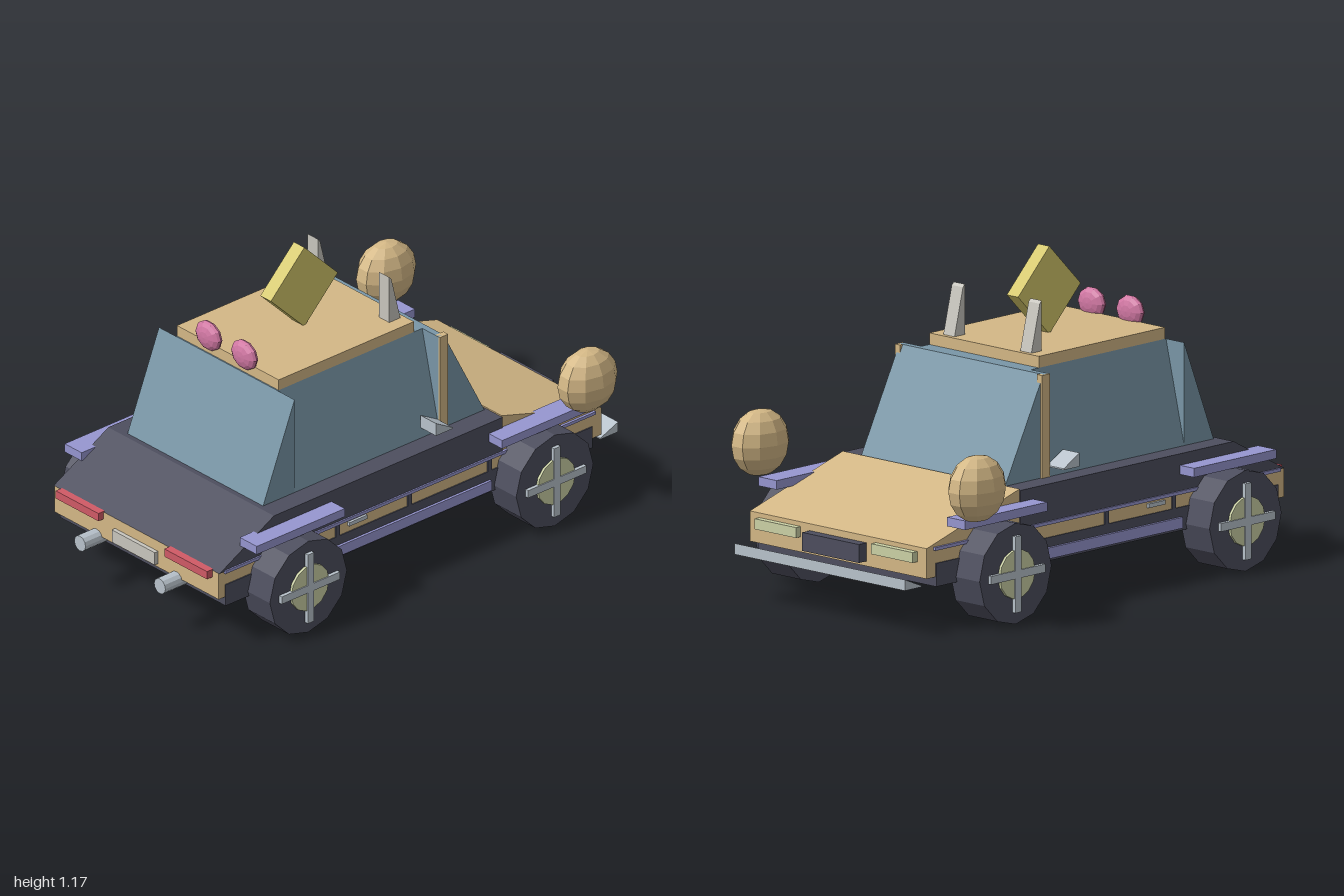
import * as THREE from 'three';

const mat = (name, color) => {
  const m = new THREE.MeshStandardMaterial({ color, flatShading: true });
  m.name = name;
  return m;
};

export function createModel() {
  const car = new THREE.Group();
  car.name = 'car';
  const tan = mat('tan', 0xd4b886);
  const dark = mat('charcoal', 0x4d4e5e);
  const glass = mat('glassBlue', 0x7996a7);
  const purple = mat('lavender', 0x9696d0);
  const pink = mat('pink', 0xd278a4);
  const red = mat('red', 0xd05a66);
  const yellow = mat('yellow', 0xd4c76a);
  const grey = mat('warmGrey', 0xc8c6be);
  const steel = mat('steel', 0xb9c3cc);
  const green = mat('paleGreen', 0xccd2a6);

  const add = (name, geo, material, x = 0, y = 0, z = 0) => {
    const m = new THREE.Mesh(geo, material);
    m.name = name;
    m.position.set(x, y, z);
    car.add(m);
    return m;
  };
  // box given by its limits on each axis
  const box = (name, material, x0, x1, y0, y1, z0, z1) =>
    add(name, new THREE.BoxGeometry(x1 - x0, y1 - y0, z1 - z0), material,
      (x0 + x1) / 2, (y0 + y1) / 2, (z0 + z1) / 2);
  const extrude = (pts, depth) => new THREE.ExtrudeGeometry(
    new THREE.Shape(pts.map(p => new THREE.Vector2(p[0], p[1]))), { depth, bevelEnabled: false });
  // side profile of [z, y] points extruded across x
  const prism = (name, material, pts, x0, x1) =>
    add(name, extrude(pts.map(([z, y]) => [-z, y]), x1 - x0).rotateY(Math.PI / 2), material, x0);
  // box mirrored to both sides
  const pair = (name, material, x0, x1, ...rest) => {
    box(name + 'Left', material, x0, x1, ...rest);
    box(name + 'Right', material, -x1, -x0, ...rest);
  };

  // body
  box('chassis', dark, -0.44, 0.44, 0.165, 0.25, -0.86, 0.89);
  box('lowerBody', tan, -0.436, 0.436, 0.2, 0.305, -0.905, 0.92);
  prism('upperBody', dark, [[0.92, 0.305], [0.66, 0.445], [-0.43, 0.445], [-0.43, 0.305]], -0.44, 0.44);
  prism('hood', tan, [[-0.43, 0.305], [-0.43, 0.45], [-0.905, 0.31], [-0.905, 0.305]], -0.436, 0.436);

  // cabin
  add('sideWindows', extrude([[-0.36, 0.445], [0.36, 0.445], [0.27, 0.82], [-0.27, 0.82]], 0.69),
    glass, 0, 0, -0.2);
  prism('rearWindow', glass, [[0.64, 0.445], [0.49, 0.82], [0.49, 0.445]], -0.36, 0.36);
  prism('windshield', glass, [[-0.2, 0.445], [-0.2, 0.82], [-0.225, 0.82], [-0.42, 0.445]], -0.355, 0.355);
  pair('pillar', tan, 0.338, 0.363, 0.445, 0.82, -0.24, -0.2);
  box('roof', tan, -0.27, 0.27, 0.82, 0.862, -0.16, 0.485);

  // roof ornaments
  const diamond = add('roofDiamond', new THREE.BoxGeometry(0.056, 0.226, 0.226), yellow, 0, 1.015, 0.145);
  diamond.rotation.x = Math.PI / 4;

  for (const s of [-1, 1]) {
    const side = s > 0 ? 'Left' : 'Right';
    const span = (a, b) => (s > 0 ? [a, b] : [-b, -a]);
    const disc = add('roofDisc' + side, new THREE.SphereGeometry(1, 10, 8).rotateX(Math.PI / 2),
      pink, s * 0.095, 0.895, 0.49);
    disc.scale.set(0.065, 0.057, 0.027);
    prism('ear' + side, grey, [[-0.09, 0.862], [-0.09, 1.045], [-0.1, 1.035], [-0.143, 0.862]], ...span(0.162, 0.217));
    const bulb = add('fenderBall' + side, new THREE.SphereGeometry(1, 10, 8), tan, s * 0.535, 0.52, -0.75);
    bulb.scale.set(0.087, 0.122, 0.125);
    prism('mirror' + side, steel, [[-0.12, 0.48], [-0.12, 0.53], [-0.2, 0.485], [-0.2, 0.48]], ...span(0.35, 0.432));
    const pipe = add('exhaust' + side, new THREE.CylinderGeometry(0.03, 0.03, 0.12, 12), steel, s * 0.212, 0.192, 0.94);
    pipe.rotation.x = Math.PI / 2;

    // wheels with hub and cross spokes
    for (const [end, z] of [['rear', 0.6], ['front', -0.575]]) {
      const disk = (name, r, w, material, x, n) =>
        add(end + name + side, new THREE.CylinderGeometry(r, r, w, n).rotateZ(Math.PI / 2), material, s * x, 0.184, z);
      disk('Wheel', 0.184, 0.142, dark, 0.485, 12);
      disk('Hub', 0.09, 0.02, green, 0.556, 14);
      box(end + 'SpokeUpright' + side, steel, ...span(0.55, 0.57), 0.045, 0.323, z - 0.015, z + 0.015);
      box(end + 'SpokeLevel' + side, steel, ...span(0.55, 0.57), 0.169, 0.199, z - 0.139, z + 0.139);
    }
  }

  // fenders and side trim
  pair('rearFender', purple, 0.42, 0.51, 0.37, 0.403, 0.385, 0.805);
  pair('frontFender', purple, 0.42, 0.51, 0.37, 0.403, -0.785, -0.365);
  pair('sill', purple, 0.43, 0.45, 0.175, 0.215, -0.37, 0.39);
  pair('trimLine', purple, 0.435, 0.446, 0.298, 0.31, -0.87, 0.895);
  for (const z of [0.355, 0.012, -0.37]) pair('doorGap', dark, 0.434, 0.441, 0.25, 0.298, z - 0.01, z + 0.01);
  pair('doorHandle', steel, 0.434, 0.446, 0.275, 0.29, 0.22, 0.305);

  // rear details
  pair('tailLight', red, 0.175, 0.402, 0.277, 0.308, 0.91, 0.945);
  box('rearPlate', grey, -0.114, 0.114, 0.214, 0.264, 0.915, 0.936);

  // front details
  pair('headlight', green, 0.185, 0.39, 0.255, 0.293, -0.93, -0.9);
  box('grille', dark, -0.14, 0.14, 0.218, 0.285, -0.945, -0.9);
  prism('bumper', steel, [[-0.915, 0.175], [-1, 0.21], [-1, 0.17], [-0.915, 0.17]], -0.42, 0.42);

  return car;
}
